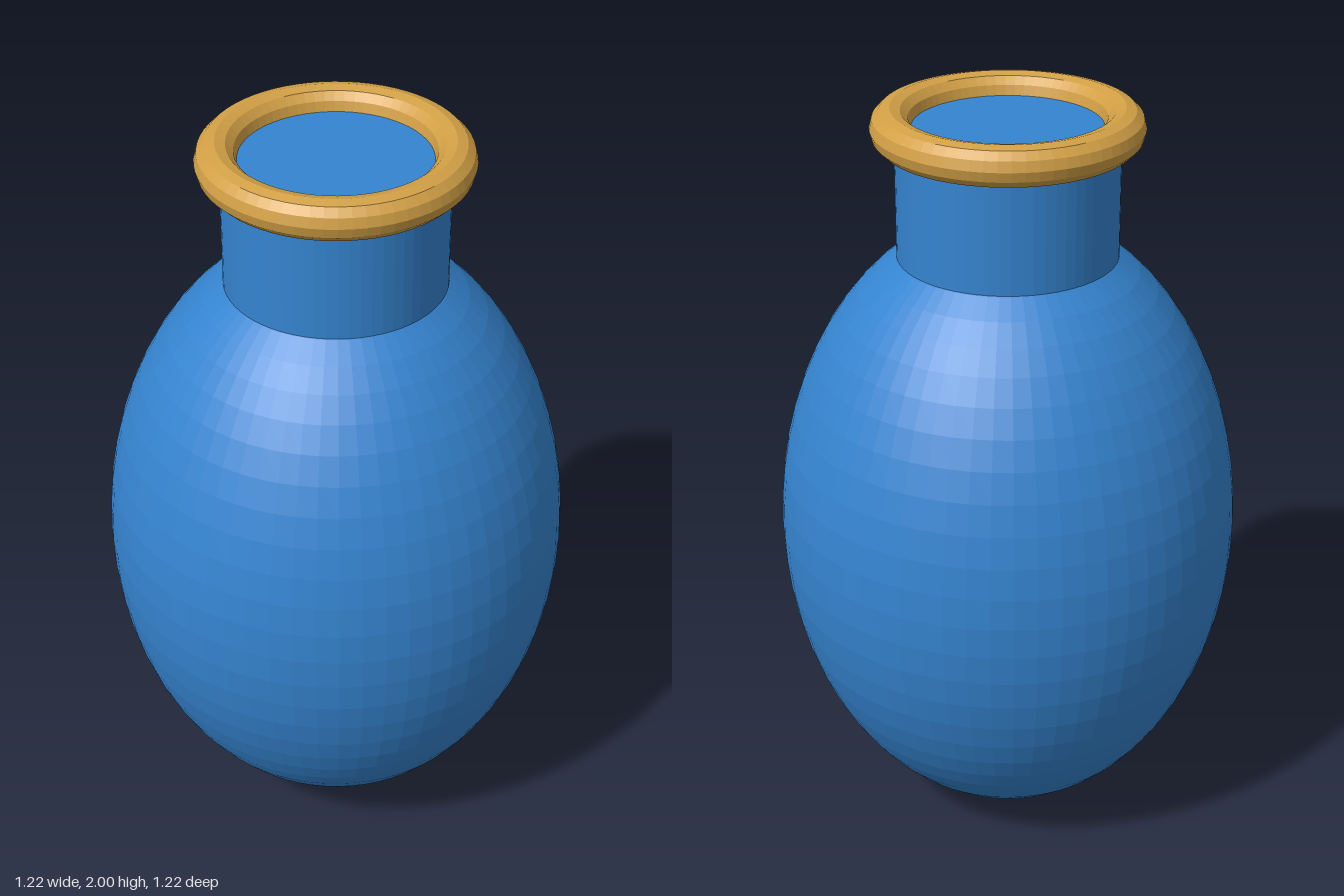
import * as THREE from 'three';

const BODY_RADIUS = 0.61, BODY_HALF_HEIGHT = 0.855;
const NECK_RADIUS = 0.285, NECK_BOTTOM = 1.5, NECK_TOP = 1.948;
const RIM_RADIUS = 0.293, RIM_TUBE = 0.052;

export function createModel() {
  const group = new THREE.Group();
  group.name = 'vase';
  const blue = new THREE.MeshStandardMaterial({ color: 0x3584d0, flatShading: true });
  const gold = new THREE.MeshStandardMaterial({ color: 0xd2a046, flatShading: true });

  const add = (name, geometry, material, y) => {
    const mesh = new THREE.Mesh(geometry, material);
    mesh.name = name;
    mesh.position.y = y;
    group.add(mesh);
  };

  // Egg-shaped body: a sphere stretched upward
  const body = new THREE.SphereGeometry(1, 64, 32);
  body.scale(BODY_RADIUS, BODY_HALF_HEIGHT, BODY_RADIUS);
  add('body', body, blue, BODY_HALF_HEIGHT);

  // Neck, sunk into the body and closed at the level of the rim's centre
  const neckHeight = NECK_TOP - NECK_BOTTOM;
  const neck = new THREE.CylinderGeometry(NECK_RADIUS, NECK_RADIUS, neckHeight, 64);
  add('neck', neck, blue, NECK_BOTTOM + neckHeight / 2);

  // Rounded rim around the mouth
  const rim = new THREE.TorusGeometry(RIM_RADIUS, RIM_TUBE, 12, 64);
  rim.rotateX(-Math.PI / 2);
  add('rim', rim, gold, NECK_TOP);

  return group;
}
